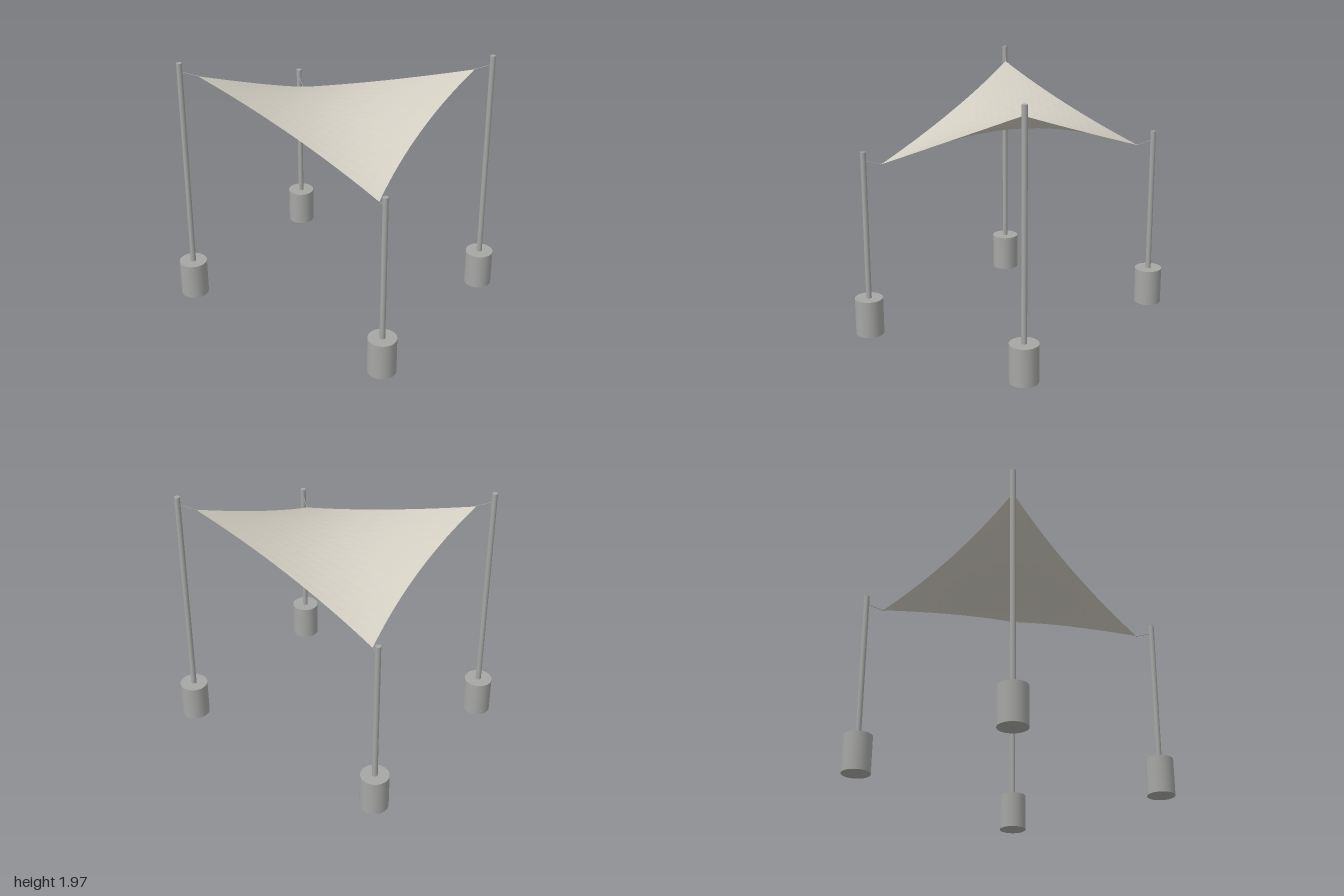
import * as THREE from 'three';

const POST_X = 0.893, POST_Z = 0.715;   // post positions
const SAIL_X = 0.792, SAIL_Z = 0.635;   // sail corners
const MID_Y = 1.593, RISE = 0.267;      // saddle height and half rise

export function createModel() {
  const model = new THREE.Group();
  model.name = 'shadeSail';

  const fabric = new THREE.MeshStandardMaterial({ color: 0xd2cec2, flatShading: true, side: THREE.DoubleSide });
  fabric.name = 'beige fabric';
  const metal = new THREE.MeshStandardMaterial({ color: 0xa6a7a5 });
  metal.name = 'grey metal';

  const add = (parent, name, geometry, material, x, y, z) => {
    const mesh = new THREE.Mesh(geometry, material);
    mesh.name = name;
    mesh.position.set(x, y, z);
    parent.add(mesh);
    return mesh;
  };

  // Sail: twisted saddle with edges bowed inwards and a slight sag in the middle
  const sail = new THREE.PlaneGeometry(2, 2, 16, 16).rotateX(-Math.PI / 2);
  const p = sail.attributes.position;
  for (let i = 0; i < p.count; i++) {
    const u = p.getX(i), v = p.getZ(i);
    p.setXYZ(i,
      u * (SAIL_X - 0.063 * (1 - v * v)),
      MID_Y - RISE * u * v - 0.026 * (1 - u * u) * (1 - v * v),
      v * (SAIL_Z - 0.052 * (1 - u * u)));
  }
  sail.computeVertexNormals();
  add(model, 'sail', sail, fabric, 0, 0, 0);

  // Four corners: footing, post, cable and ring; opposite corners share a height
  for (const sx of [-1, 1]) for (const sz of [-1, 1]) {
    const corner = new THREE.Group();
    corner.name = (sz > 0 ? 'front' : 'back') + (sx > 0 ? 'Left' : 'Right') + 'Support';
    model.add(corner);

    const x = sx * POST_X, z = sz * POST_Z;
    const sailY = MID_Y - RISE * sx * sz;
    const top = sailY + 0.105, base = 0.288;

    add(corner, 'footing', new THREE.CylinderGeometry(0.107, 0.107, base, 32), metal, x, base / 2, z);
    add(corner, 'post', new THREE.CylinderGeometry(0.021, 0.021, top - base, 16), metal, x, (top + base) / 2, z);

    const from = new THREE.Vector3(x, sailY + 0.038, z);
    const to = new THREE.Vector3(sx * SAIL_X, sailY, sz * SAIL_Z);
    const cable = new THREE.TubeGeometry(new THREE.LineCurve3(from, to), 1, 0.003, 8);
    add(corner, 'cable', cable, metal, 0, 0, 0);
    add(corner, 'cornerRing', new THREE.SphereGeometry(0.007, 12, 8), metal, to.x, to.y, to.z);
  }

  return model;
}
